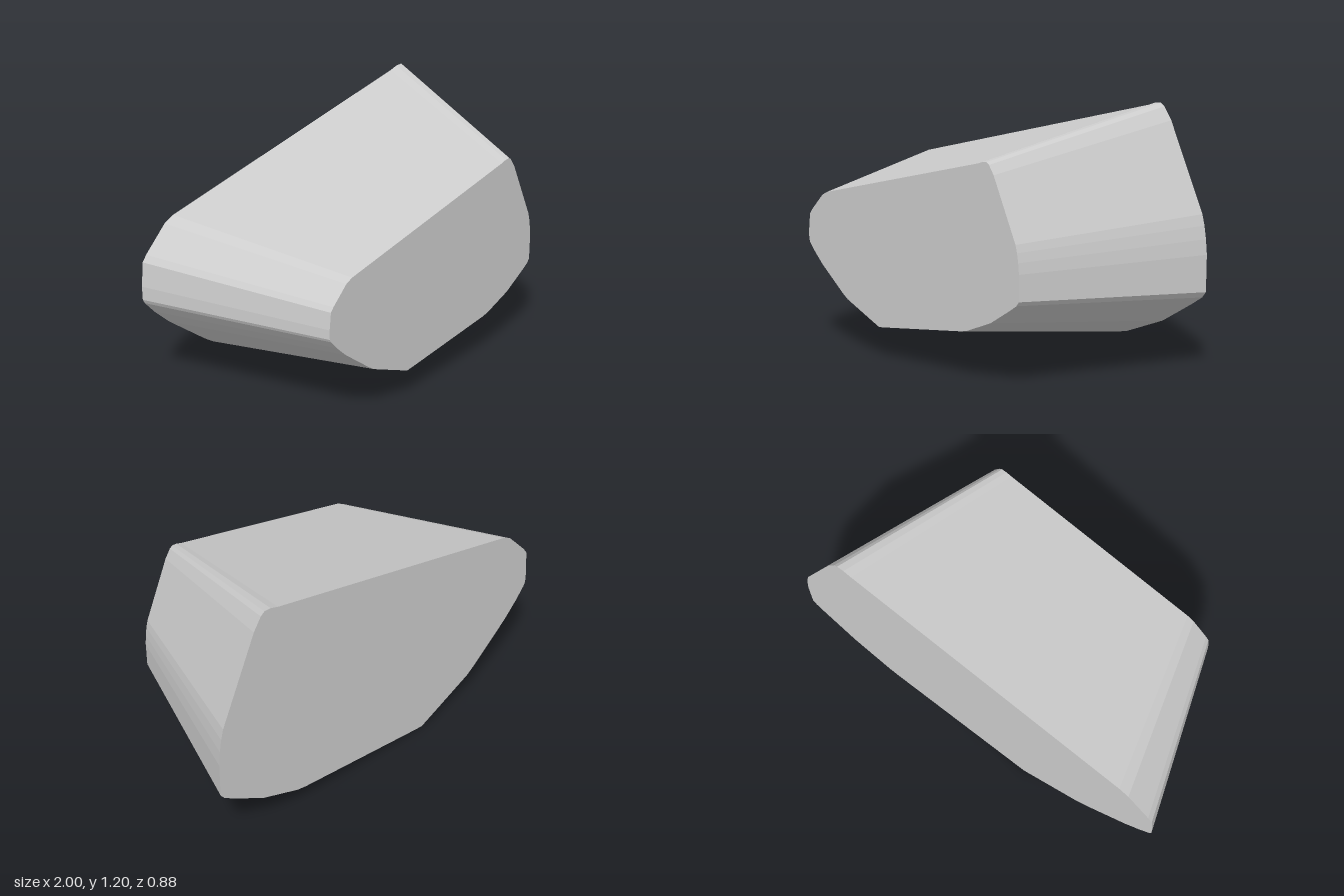
import * as THREE from 'three';

// Outline of the large back face (x, y)
const outline = [
  [0.65, 1.185], [0.69, 1.198], [0.725, 1.2], [0.745, 1.185], [0.785, 1.125],
  [0.97, 0.72], [0.983, 0.67], [0.993, 0.61], [1, 0.54], [1, 0.37],
  [0.98, 0.343], [0.93, 0.308], [0.76, 0.2], [0.55, 0.115], [0.5, 0.104],
  [-0.24, 0.004], [-0.28, 0], [-0.32, 0.017], [-0.6, 0.14], [-0.65, 0.175],
  [-0.86, 0.345], [-0.94, 0.425], [-0.99, 0.485], [-1, 0.505], [-1, 0.57],
  [-0.987, 0.685], [-0.965, 0.715], [-0.85, 0.83], [-0.8, 0.855],
];
const DEPTH = 0.88;

export function createModel() {
  const group = new THREE.Group();
  const stone = new THREE.MeshStandardMaterial({ color: 0xcccccc });
  stone.name = 'light grey';

  const shape = new THREE.Shape(outline.map(([x, y]) => new THREE.Vector2(x, y)));
  const geometry = new THREE.ExtrudeGeometry(shape, { depth: DEPTH, bevelEnabled: false });

  // Taper evenly towards the smaller front face
  const p = geometry.attributes.position;
  for (let i = 0; i < p.count; i++) {
    const t = p.getZ(i) / DEPTH;
    const s = 1 - 0.304 * t;
    p.setXYZ(i, p.getX(i) * s - 0.014 * t, p.getY(i) * s + 0.155 * t, p.getZ(i) - DEPTH / 2);
  }
  geometry.computeVertexNormals();

  const body = new THREE.Mesh(geometry, stone);
  body.name = 'taperedBlock';
  group.add(body);
  return group;
}
